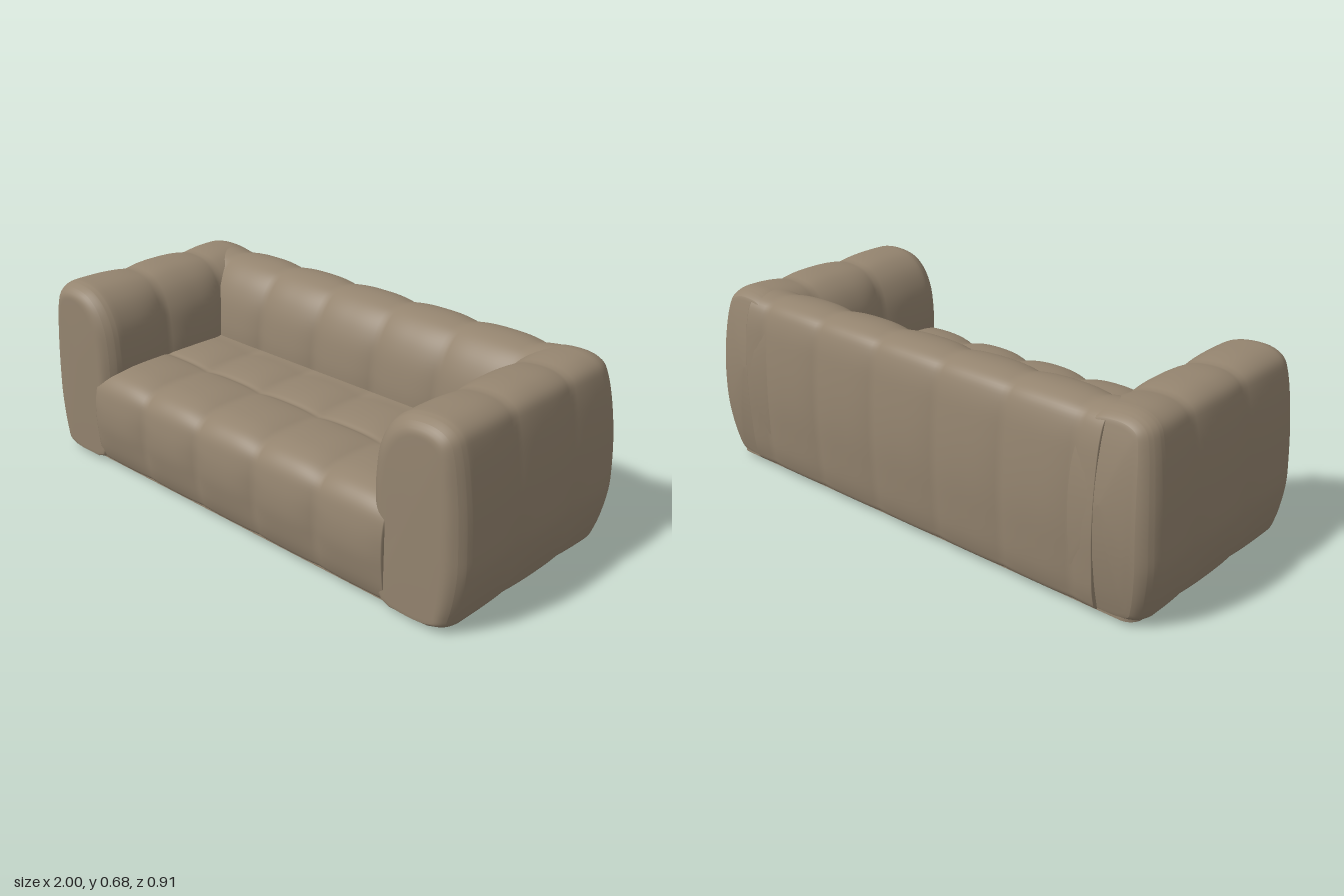
import * as THREE from 'three';

// Outlines run: bottom, outer face, top, inner face. Each pair is [outward, up].
const ARM = {
  puff: [[.68, .02], [.945, .02], [.968, .06], [.998, .2], [.998, .3], [.987, .45], [.961, .6], [.94, .652],
    [.895, .679], [.82, .684], [.75, .669], [.69, .625], [.648, .55], [.632, .45], [.633, .35], [.655, .2]],
  seam: [[.69, .02], [.94, .02], [.96, .06], [.983, .2], [.984, .3], [.974, .45], [.95, .6], [.929, .645],
    [.885, .667], [.82, .671], [.75, .657], [.703, .615], [.675, .55], [.664, .45], [.665, .35], [.68, .2]],
};
const ARM_FRONT = [[.71, .035], [.905, .035], [.917, .07], [.93, .2], [.93, .3], [.925, .45], [.91, .585],
  [.895, .615], [.865, .63], [.82, .633], [.785, .622], [.75, .595], [.717, .54], [.7, .45], [.698, .35], [.7, .2]];
const ARM_BACK = [[.7, .035], [.9, .035], [.915, .07], [.93, .2], [.93, .3], [.925, .45], [.912, .6],
  [.9, .635], [.87, .65], [.82, .653], [.77, .645], [.73, .61], [.7, .55], [.69, .45], [.69, .35], [.69, .2]];
const BACK = {
  puff: [[.16, .02], [.415, .02], [.435, .06], [.45, .2], [.455, .33], [.447, .48], [.43, .6], [.407, .652],
    [.36, .675], [.3, .679], [.24, .663], [.19, .62], [.155, .55], [.135, .45], [.13, .37], [.14, .2]],
  seam: [[.18, .02], [.41, .02], [.425, .06], [.437, .2], [.44, .33], [.433, .48], [.417, .6], [.395, .645],
    [.35, .666], [.3, .67], [.247, .653], [.204, .612], [.174, .55], [.158, .45], [.155, .37], [.16, .2]],
};
const SEAT = {
  puff: [[-.2, .02], [.41, .02], [.43, .05], [.45, .14], [.455, .2], [.45, .27], [.435, .33], [.405, .365],
    [.35, .385], [.27, .392], [.19, .389], [.14, .381], [.12, .374], [.1, .381], [.05, .389], [-.03, .392],
    [-.1, .388], [-.2, .37]],
  seam: [[-.2, .02], [.405, .02], [.42, .05], [.43, .14], [.433, .2], [.431, .27], [.418, .32], [.388, .349],
    [.335, .366], [.27, .372], [.19, .371], [.14, .368], [.12, .365], [.1, .368], [.05, .371], [-.03, .372],
    [-.1, .37], [-.2, .36]],
};
const FLOOR = .018;

const mix = (p, q, t) => p.map(([a, b], i) => [a + (q[i][0] - a) * t, b + (q[i][1] - b) * t]);

// Sweeps an outline along s, puffing it out between stitched seams.
// place(a, y, s) puts a point in space; ends, if given, round both ends over
// a radius r into their own outline, with a slightly domed face.
function upholster(outline, start, finish, seams, place, ends) {
  const N = 80, stations = [start, finish];
  for (let k = 0; k < seams.length - 1; k++) {
    for (let i = 0; i <= 16; i++) stations.push(seams[k] + (seams[k + 1] - seams[k]) * i / 16);
  }
  if (ends) {
    for (let i = 1; i <= 8; i++) {
      const d = 1 - Math.cos(i / 8 * Math.PI / 2);
      stations.push(start + ends[0].r * d, finish - ends[1].r * d);
    }
  }
  const list = stations.filter(s => s >= start && s <= finish).sort((a, b) => a - b)
    .filter((s, i, all) => i === 0 || s - all[i - 1] > 1e-4);

  const rings = list.map(s => {
    const k = seams.findIndex((v, i) => s >= v && s <= seams[i + 1]);
    const t = (s - seams[k]) / (seams[k + 1] - seams[k]);
    let pts = mix(outline.seam, outline.puff, 1 - Math.abs(2 * t - 1) ** 2.6);
    if (ends) {
      for (const [end, gap] of [[ends[0], s - start], [ends[1], finish - s]]) {
        const e = Math.max(0, 1 - gap / end.r);
        pts = mix(pts, end.outline, 1 - Math.sqrt(1 - e * e));
      }
    }
    const curve = new THREE.CatmullRomCurve3(pts.map(p => new THREE.Vector3(p[0], p[1], s)), true, 'centripetal');
    return Array.from({ length: N }, (_, i) => {
      const p = curve.getPoint(i / N);
      p.y = Math.max(p.y, FLOOR);
      return p;
    });
  });

  // End faces shrink in rings to a gently domed centre
  const cap = (ring, dome) => {
    const c = ring.reduce((m, p) => m.add(p), new THREE.Vector3()).divideScalar(N);
    return [.97, .88, .75, .5, .25, 0].map(f => ring.map(p => {
      const q = c.clone().lerp(p, f);
      q.z += dome * (1 - f * f);
      return q;
    }));
  };
  const all = [
    ...cap(rings[0], ends ? -ends[0].dome : 0).reverse(), ...rings,
    ...cap(rings[rings.length - 1], ends ? ends[1].dome : 0),
  ];

  const verts = all.flat().map(p => place(p.x, p.y, p.z));
  const index = [];
  for (let r = 0; r < all.length - 1; r++) {
    for (let i = 0; i < N; i++) {
      const a = r * N + i, b = r * N + (i + 1) % N, c = a + N, d = b + N;
      if (r < all.length - 2) index.push(b, d, c);
      if (r > 0) index.push(a, b, c);
    }
  }
  // Turn faces outward whatever the sweep direction or mirroring
  let volume = 0;
  const n = new THREE.Vector3();
  for (let i = 0; i < index.length; i += 3) {
    volume += verts[index[i]].dot(n.crossVectors(verts[index[i + 1]], verts[index[i + 2]]));
  }
  if (volume < 0) index.reverse();
  const geo = new THREE.BufferGeometry().setFromPoints(verts);
  geo.setIndex(index);
  geo.computeVertexNormals();
  return geo;
}

export function createModel() {
  const group = new THREE.Group();
  group.name = 'sofa';
  const fabric = new THREE.MeshStandardMaterial({ color: 0x94846f });
  fabric.name = 'taupe fabric';
  const add = (name, geo) => {
    const mesh = new THREE.Mesh(geo, fabric);
    mesh.name = name;
    group.add(mesh);
    return mesh;
  };

  // Arms: three channels front to back; the rear end leans in towards top and bottom
  const armEnds = [{ r: .085, dome: .012, outline: ARM_BACK }, { r: .075, dome: .004, outline: ARM_FRONT }];
  for (const side of [1, -1]) {
    add(side > 0 ? 'leftArm' : 'rightArm', upholster(ARM, -.441, .426, [-.5, -.175, .12, .47], (a, y, s) => {
      const rear = THREE.MathUtils.smoothstep(-s, .2, .44);
      return new THREE.Vector3(side * a, y, s + rear * .034 * ((y - .33) / .32) ** 2);
    }, armEnds));
  }

  // Backrest runs into the arms; the seat fits between them
  const inner = [-.43, -.145, .145, .43];
  add('backrest', upholster(BACK, -.8, .8, [-.99, -.71, ...inner, .71, .99],
    (a, y, s) => new THREE.Vector3(s, y, -a)));
  add('seat', upholster(SEAT, -.715, .715, [-.73, ...inner, .73], (a, y, s) => new THREE.Vector3(s, y, a)));

  // Base panel with rounded corners
  const w = .935, d = .41, r = .05;
  const panel = new THREE.Shape();
  panel.absarc(w - r, d - r, r, 0, Math.PI / 2);
  panel.absarc(-w + r, d - r, r, Math.PI / 2, Math.PI);
  panel.absarc(-w + r, -d + r, r, Math.PI, Math.PI * 1.5);
  panel.absarc(w - r, -d + r, r, Math.PI * 1.5, Math.PI * 2);
  const base = new THREE.ExtrudeGeometry(panel, { depth: .025, bevelEnabled: false, curveSegments: 8 });
  base.rotateX(-Math.PI / 2);
  add('basePanel', base).position.y = .016;

  // Small round feet
  const foot = new THREE.CylinderGeometry(.015, .012, .02, 16);
  for (const [x, z] of [[.83, .325], [-.83, .325], [.83, -.325], [-.83, -.325], [0, -.325], [0, .05], [0, .255]]) {
    add('foot', foot).position.set(x, .01, z);
  }
  return group;
}
